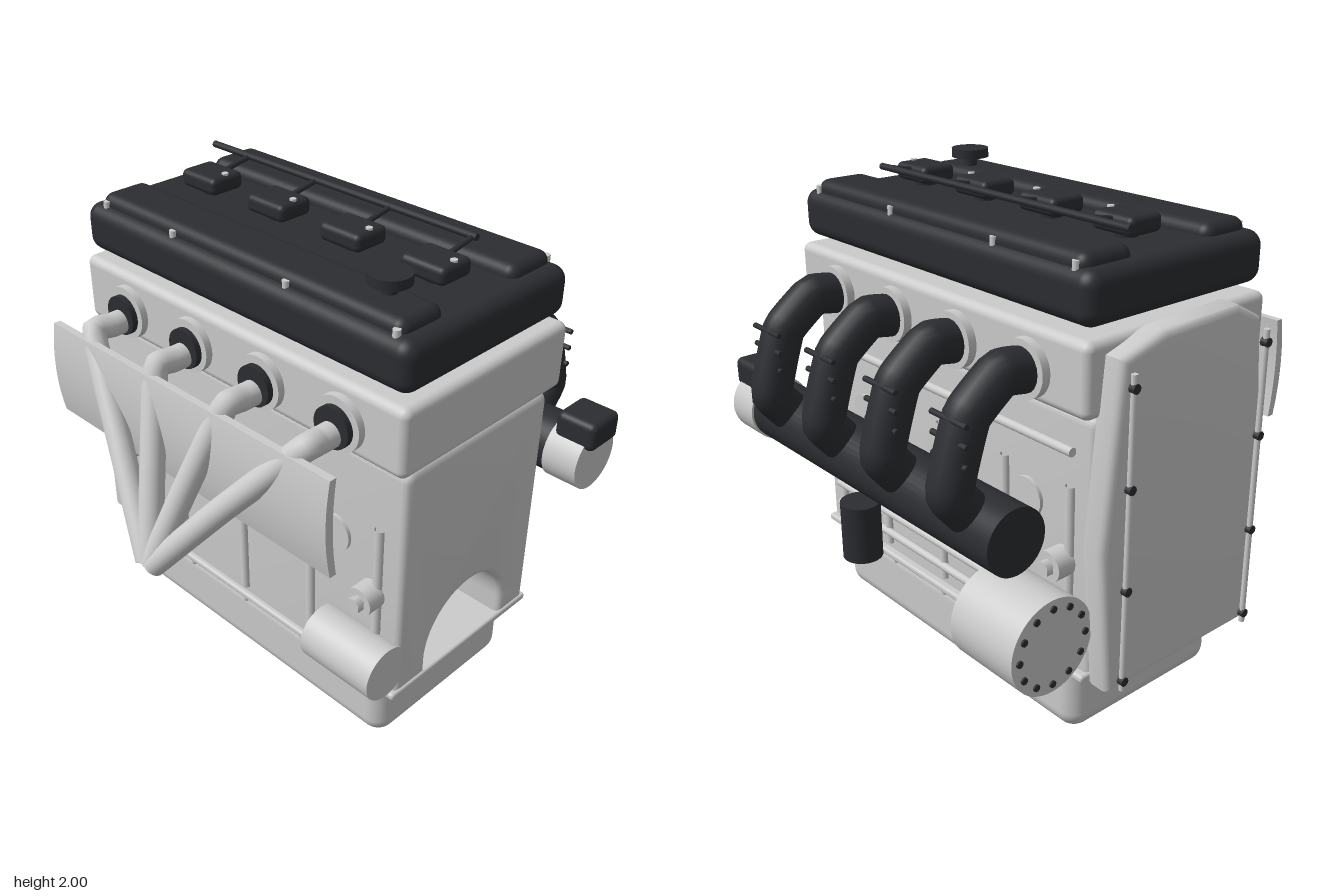
import * as THREE from 'three';
import { toCreasedNormals } from 'three/addons/utils/BufferGeometryUtils.js';
import { RoundedBoxGeometry } from 'three/addons/geometries/RoundedBoxGeometry.js';

const grey = new THREE.MeshStandardMaterial({ color: 0xcccccc });
const greyThin = new THREE.MeshStandardMaterial({ color: 0xcccccc, side: THREE.DoubleSide });
const black = new THREE.MeshStandardMaterial({ color: 0x2b2d31 });
const blackThin = new THREE.MeshStandardMaterial({ color: 0x2b2d31, side: THREE.DoubleSide });
const PORTS = [-0.592, -0.198, 0.198, 0.592];

export function createModel() {
  const root = new THREE.Group();
  root.name = 'engine';

  const add = (name, geometry, material = grey) => {
    const mesh = new THREE.Mesh(geometry, material);
    mesh.name = name;
    root.add(mesh);
    return mesh;
  };
  // Rounded box given by its limits on each axis
  const box = (name, [x0, x1], [y0, y1], [z0, z1], r, material) => {
    const g = new RoundedBoxGeometry(x1 - x0, y1 - y0, z1 - z0, 5, r);
    g.translate((x0 + x1) / 2, (y0 + y1) / 2, (z0 + z1) / 2);
    return add(name, g, material);
  };
  // Solid cylinder between two points
  const rod = (name, a, b, r, material, sides = 32) => {
    const p = new THREE.Vector3(...a), q = new THREE.Vector3(...b);
    const d = q.clone().sub(p);
    const mesh = add(name, new THREE.CylinderGeometry(r, r, d.length(), sides), material);
    mesh.position.copy(p).add(q).multiplyScalar(0.5);
    mesh.quaternion.setFromUnitVectors(new THREE.Vector3(0, 1, 0), d.normalize());
    return mesh;
  };
  const pipe = (name, points, r, material) => {
    const curve = new THREE.CatmullRomCurve3(points.map(p => new THREE.Vector3(...p)), false, 'catmullrom', 0.15);
    return add(name, new THREE.TubeGeometry(curve, 40, r, 20), material);
  };
  // Profile in (z, y), extruded along x from x0 to x1 with bevelled ends
  const sideExtrude = (name, shape, x0, x1, bevel, material) => {
    const g = new THREE.ExtrudeGeometry(shape, {
      depth: x1 - x0 - 2 * bevel, bevelEnabled: bevel > 0, bevelThickness: bevel,
      bevelSize: bevel, bevelOffset: -bevel, bevelSegments: 3, curveSegments: 24,
    });
    g.rotateY(Math.PI / 2).translate(x0 + bevel, 0, 0);
    return add(name, toCreasedNormals(g, 0.6), material);
  };

  // Cylinder block with an arched crank tunnel (shape x is -z)
  const s = new THREE.Shape();
  s.moveTo(-0.39, 0.34);
  s.lineTo(-0.22, 0.34);
  s.lineTo(-0.22, 0.42);
  s.absarc(0.02, 0.42, 0.24, Math.PI, 0, true);
  s.lineTo(0.26, 0.34);
  s.lineTo(0.42, 0.34);
  s.lineTo(0.42, 1.32);
  s.quadraticCurveTo(0.42, 1.37, 0.37, 1.37);
  s.lineTo(-0.34, 1.37);
  s.quadraticCurveTo(-0.39, 1.37, -0.39, 1.32);
  s.closePath();
  sideExtrude('block', s, -0.865, 0.865, 0.03);

  // Timing cover on the end, with its two bolt strips
  const outline = [[0.38, 0.31], [0.38, 1.0], [0.31, 1.6], [0.18, 1.67], [-0.2, 1.66], [-0.4, 1.6], [-0.47, 0.9], [-0.42, 0.31]];
  const cover = new THREE.Shape(outline.map(([z, y]) => new THREE.Vector2(-z, y)));
  sideExtrude('timingCover', cover, -0.965, -0.85, 0.03);
  for (const z of [-0.36, 0.33]) {
    rod('timingStrip', [-0.975, 0.31, z], [-0.975, 1.55, z], 0.012, grey, 12);
    for (const y of [0.35, 0.73, 1.13, 1.5]) rod('timingBolt', [-0.96, y, z], [-0.99, y, z], 0.018, black, 12);
  }

  // Oil pan and its flange
  box('oilPan', [-0.78, 0.78], [0, 0.33], [-0.415, 0.385], 0.08);
  box('panFlange', [-0.855, 0.86], [0.305, 0.337], [-0.45, 0.41], 0.012);
  for (const x of [-0.7, -0.35, 0, 0.35, 0.7])
    for (const z of [-0.43, 0.395]) rod('panBolt', [x, 0.29, z], [x, 0.31, z], 0.013, grey, 12);

  // Cylinder head and cam cover
  box('cylinderHead', [-0.88, 0.88], [1.37, 1.65], [-0.48, 0.44], 0.035);
  box('camCover', [-0.87, 0.87], [1.68, 1.88], [-0.465, 0.43], 0.06, black);
  box('camRidge', [-0.81, 0.8], [1.81, 1.925], [0.165, 0.385], 0.045, black);
  box('camRidge', [-0.81, 0.8], [1.81, 1.925], [-0.435, -0.2], 0.045, black);
  for (const x of [-0.765, -0.35, 0.265, 0.775])
    for (const z of [-0.43, 0.385]) rod('coverBolt', [x, 1.86, z], [x, 1.9, z], 0.015, grey, 12);
  rod('oilCap', [0.613, 1.962, 0.24], [0.613, 2, 0.24], 0.08, black);
  rod('oilCapNeck', [0.613, 1.9, 0.24], [0.613, 1.97, 0.24], 0.03, black);

  // Ignition coils and their wiring rail
  rod('wiringRail', [-0.81, 1.977, -0.228], [0.61, 1.977, -0.228], 0.014, black, 12);
  for (const x of PORTS) {
    rod('plugTube', [x, 1.64, -0.02], [x, 1.7, -0.02], 0.045);
    box('coil', [x - 0.103, x + 0.103], [1.898, 1.97], [-0.103, 0.06], 0.025, black);
    rod('coilStem', [x, 1.86, -0.02], [x, 1.92, -0.02], 0.045, black);
    rod('coilBolt', [x + 0.077, 1.95, -0.025], [x + 0.077, 1.976, -0.025], 0.014, grey, 12);
    rod('coilWire', [x, 1.95, -0.09], [x, 1.975, -0.228], 0.011, black, 12);
  }

  for (const x of PORTS) {
    // Exhaust port and runner down to the collector point
    rod('exhaustFlange', [x, 1.495, 0.43], [x, 1.495, 0.47], 0.11);
    rod('exhaustGasket', [x, 1.49, 0.46], [x, 1.49, 0.495], 0.082, black);
    pipe('exhaustRunner', [[x, 1.465, 0.46], [x, 1.465, 0.55], [x, 1.465, 0.63],
      [x * 0.5, 1.12, 0.755], [x * 0.03, 0.775, 0.872]], 0.05, greyThin);
    // Intake port and curved runner into the plenum
    rod('intakeFlange', [x, 1.495, -0.47], [x, 1.495, -0.515], 0.11);
    pipe('intakeRunner', [[x, 1.49, -0.49], [x, 1.505, -0.61], [x, 1.39, -0.755],
      [x, 1.13, -0.835], [x, 0.98, -0.71]], 0.084, blackThin);
    for (const y of [1.4, 1.325, 1.25])
      rod('runnerRib', [x - 0.095, y, -0.83], [x + 0.095, y, -0.83], 0.011, black, 12);
  }

  // Curved heat shield
  const shield = new THREE.Shape();
  shield.moveTo(-0.685, 1.05);
  shield.quadraticCurveTo(-0.73, 1.25, -0.69, 1.46);
  shield.lineTo(-0.66, 1.46);
  shield.quadraticCurveTo(-0.69, 1.25, -0.655, 1.05);
  shield.closePath();
  sideExtrude('heatShield', shield, -0.78, 0.78, 0, greyThin);

  // Intake plenum, throttle body and actuator
  rod('plenum', [-0.775, 0.965, -0.695], [0.8, 0.965, -0.695], 0.13, black, 40);
  rod('throttleBody', [0.79, 0.965, -0.695], [0.95, 0.965, -0.695], 0.139, grey, 40);
  box('throttleActuator', [0.8, 0.988], [1.042, 1.17], [-0.79, -0.6], 0.03, black);

  // Alternator with a ring of bolts
  rod('alternator', [-0.885, 0.57, -0.625], [-0.55, 0.57, -0.625], 0.19, grey, 48);
  for (let i = 0; i < 12; i++) {
    const a = i * Math.PI / 6, y = 0.57 + 0.155 * Math.sin(a), z = -0.625 + 0.155 * Math.cos(a);
    rod('alternatorBolt', [-0.88, y, z], [-0.893, y, z], 0.014, black, 10);
  }

  // Starter motor and oil filter
  rod('starterMotor', [0.51, 0.488, 0.45], [0.86, 0.488, 0.45], 0.115, grey, 40);
  rod('oilFilter', [0.45, 0.325, -0.535], [0.45, 0.59, -0.535], 0.088, black, 40);

  // Ribs, core plugs and engine mounts on both block faces
  for (const [face, out] of [[0.39, 1], [-0.42, -1]]) {
    for (const x of [-0.75, -0.395, 0, 0.395, 0.745])
      pipe('blockRib', [[x, 0.37, face], [x, 0.7, face], [x, 1.08, face]], 0.021, greyThin);
    for (const x of out > 0 ? [-0.525, 0.525] : [-0.525, 0, 0.525])
      rod('corePlug', [x, 0.955, face - out * 0.02], [x, 0.955, face + out * 0.015], 0.08);
    for (const x of [-0.72, 0.72]) {
      rod('mountBoss', [x, 0.77, face - out * 0.02], [x, 0.77, face + out * 0.08], 0.06);
      rod('mountBolt', [x, 0.77, face], [x, 0.77, face + out * 0.11], 0.033, grey, 6);
    }
  }
  // Lengthwise pipes on the back of the block
  for (const y of [0.43, 0.53, 1.22])
    rod('backPipe', [-0.77, y, -0.435], [0.77, y, -0.435], 0.018, grey, 14);

  return root;
}
